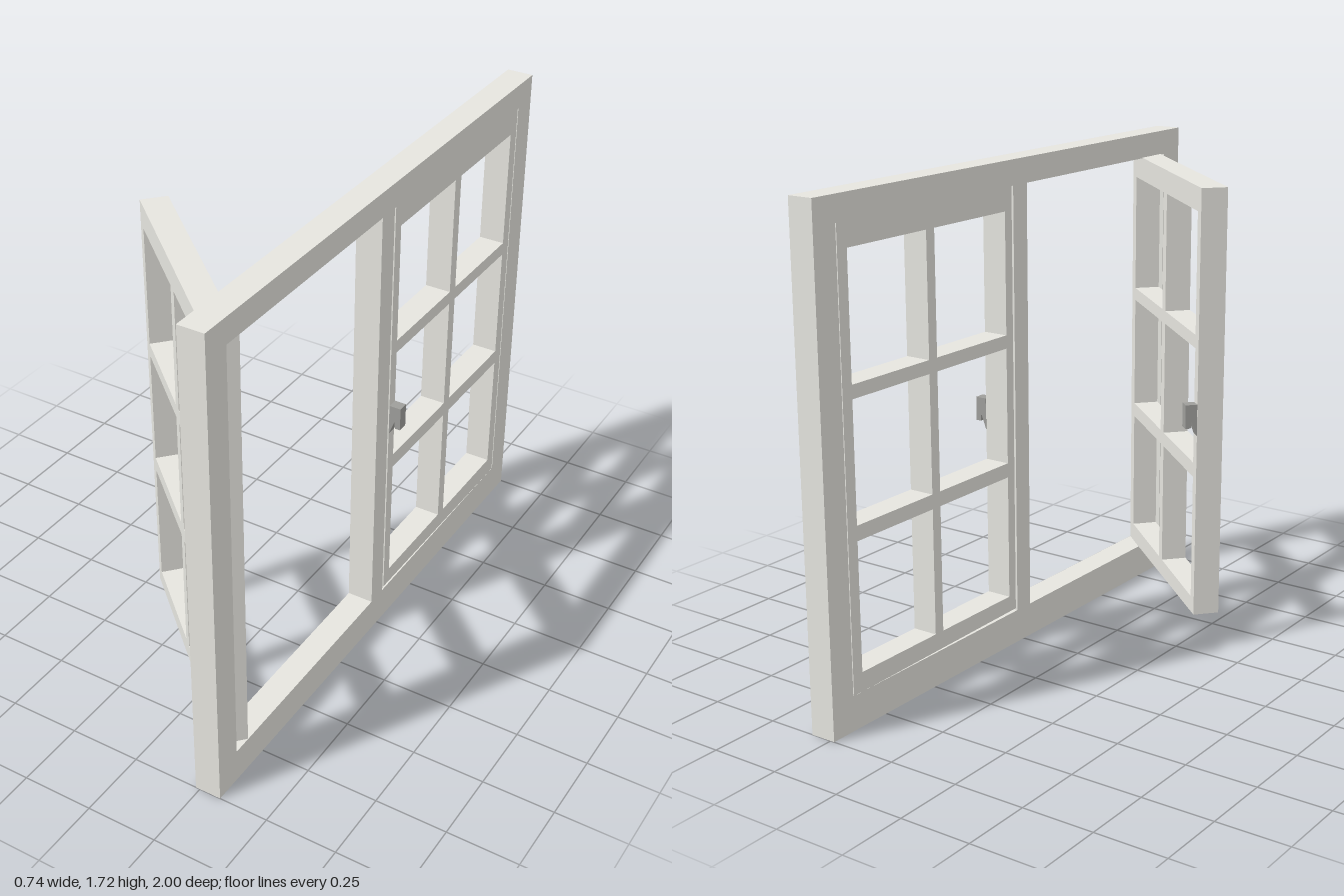
import * as THREE from 'three';

const paint = new THREE.MeshStandardMaterial({ color: 0xe6e5df });
paint.name = 'offWhitePaint';
const metal = new THREE.MeshStandardMaterial({ color: 0x9e9e9b });
metal.name = 'greyMetal';

// Points always run counter-clockwise, so that all walls face outwards
function polygon(pts, Type = THREE.Shape) {
  const points = pts.map(([x, y]) => new THREE.Vector2(x, y));
  if (THREE.ShapeUtils.isClockWise(points)) points.reverse();
  return new Type(points);
}
const rect = (u0, u1, v0, v1) => [[u0, v0], [u1, v0], [u1, v1], [u0, v1]];

// Panel with holes, standing in the z-y plane: u runs towards -z, thickness along +x
function panel(name, outline, holes, depth) {
  const shape = polygon(outline);
  shape.holes = holes.map((h) => polygon(h, THREE.Path));
  const geo = new THREE.ExtrudeGeometry(shape, { depth, bevelEnabled: false });
  geo.rotateY(Math.PI / 2);
  const mesh = new THREE.Mesh(geo, paint);
  mesh.name = name;
  return mesh;
}

// Six-pane sash with handle; origin at the hinge on the inner face.
// side = 1 extends towards -z, side = -1 towards +z
function sash(name, side) {
  const group = new THREE.Group();
  group.name = name;
  const width = 0.855, thickness = 0.091;
  const columns = [[0.043, 0.41], [0.45, 0.818]];
  const rows = [[0.186, 0.627], [0.678, 1.084], [1.13, 1.55]];
  const holes = [];
  for (const [u0, u1] of columns)
    for (const [y0, y1] of rows) holes.push(rect(side * u0, side * u1, y0, y1));
  // The bottom edge rises slightly towards the free end
  const outline = [[0, 0.119], [side * width, 0.13], [side * width, 1.632], [0, 1.632]];
  const leaf = panel(name + 'Leaf', outline, holes, thickness);
  leaf.position.x = -thickness;
  group.add(leaf);

  // Handle: block with a small tapered catch under it
  const profile = polygon([[0, 0.785], [0.02, 0.838], [0.022, 0.812], [0.041, 0.812], [0.041, 0.895], [0, 0.895]]);
  const handle = new THREE.Mesh(
    new THREE.ExtrudeGeometry(profile, { depth: 0.037, bevelEnabled: false }), metal);
  handle.name = name + 'Handle';
  handle.position.z = -side * 0.835 - 0.0185;
  group.add(handle);
  return group;
}

export function createModel() {
  const model = new THREE.Group();
  model.name = 'casementWindow';

  // Outer frame with two openings and a centre post
  const frame = panel('frame', rect(-1, 1, 0, 1.717),
    [rect(-0.9, -0.04, 0.12, 1.63), rect(0.036, 0.904, 0.12, 1.63)], 0.092);
  frame.position.x = 0.235;
  model.add(frame);

  // Closed sash, flush with the frame
  const closed = sash('closedSash', -1);
  closed.position.set(0.3265, 0, -0.9);
  model.add(closed);

  // Open sash, swung outwards
  const open = sash('openSash', 1);
  open.position.set(0.326, 0, 0.833);
  open.rotation.y = THREE.MathUtils.degToRad(48.2);
  model.add(open);

  return model;
}
